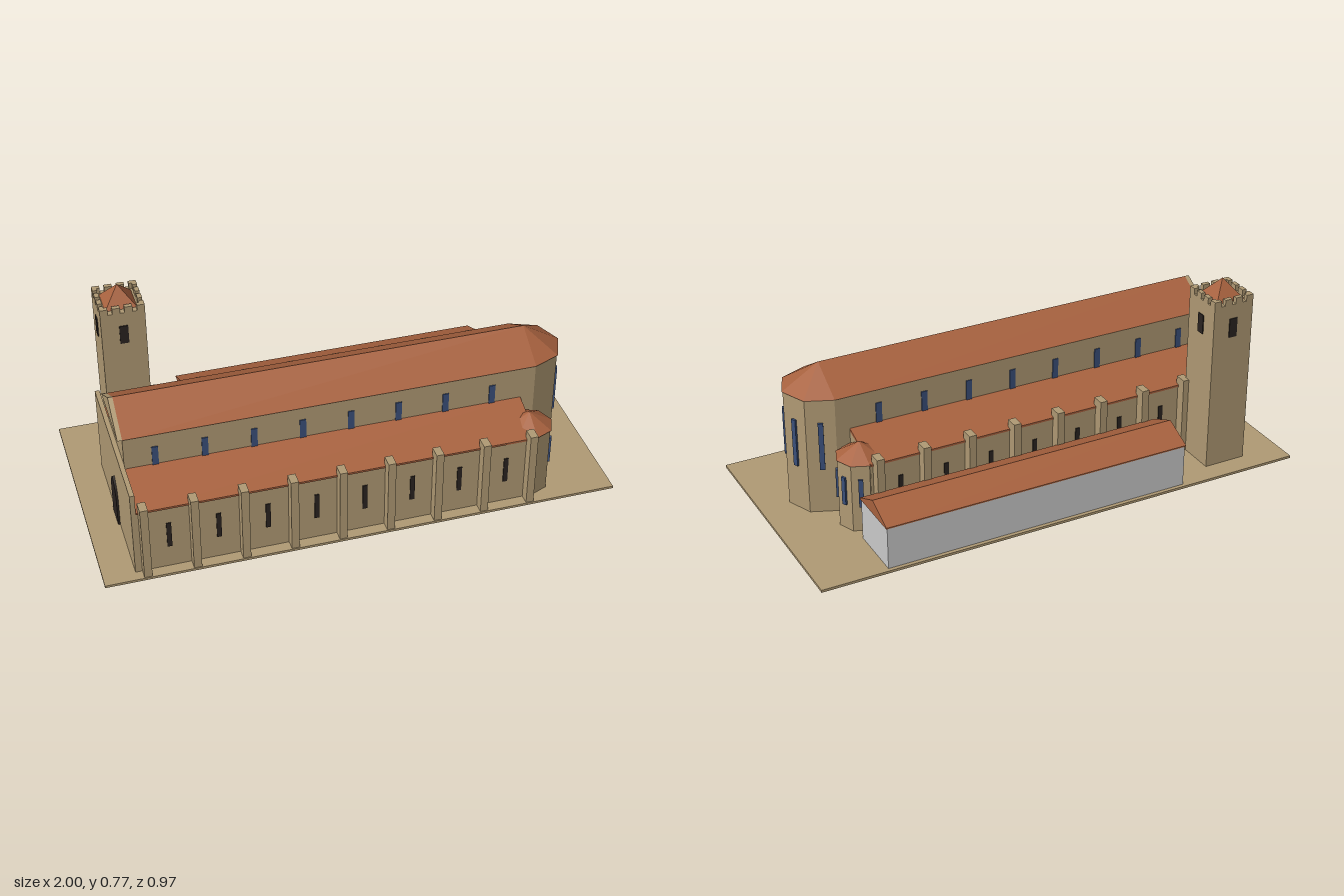
import * as THREE from 'three';

const mat = (color) => new THREE.MeshStandardMaterial({ color, flatShading: true });
const stone = mat(0xb09a74), tile = mat(0xa8623f), glass = mat(0x3a4f7a);
const dark = mat(0x2a2320), plaster = mat(0xcccccc);

const AXIS = 0.115;   // z of the church's long axis
const BASE = 0.01;    // top of the ground slab
const BAY = 0.1865;   // buttress spacing

export function createModel() {
  const model = new THREE.Group();
  model.name = 'church';

  const add = (name, geometry, material, parent = model) => {
    const mesh = new THREE.Mesh(geometry, material);
    mesh.name = name;
    parent.add(mesh);
    return mesh;
  };

  // Box given by its limits on each axis
  const box = (name, material, [x0, x1], [y0, y1], [z0, z1], parent) => {
    const g = new THREE.BoxGeometry(Math.abs(x1 - x0), y1 - y0, Math.abs(z1 - z0));
    g.translate((x0 + x1) / 2, (y0 + y1) / 2, (z0 + z1) / 2);
    return add(name, g, material, parent);
  };

  // Prism along x with a [z, y] profile
  const prism = (name, material, profile, x0, x1, parent) => {
    const shape = new THREE.Shape(profile.map(([z, y]) => new THREE.Vector2(z, y)));
    const g = new THREE.ExtrudeGeometry(shape, { depth: x1 - x0, bevelEnabled: false });
    g.rotateY(-Math.PI / 2).translate(x1, 0, 0);
    return add(name, g, material, parent);
  };

  // Octagonal apse with pyramid roof and three tall windows
  const apse = (name, x, z, r, eave, apex, winY, winW) => {
    const group = new THREE.Group();
    group.name = name;
    group.position.set(x, 0, z);
    model.add(group);
    const wall = new THREE.CylinderGeometry(r, r, eave - BASE, 8);
    add('apseWall', wall.translate(0, (eave + BASE) / 2, 0), stone, group);
    const roof = new THREE.ConeGeometry(r + 0.004, apex - eave, 8);
    add('apseRoof', roof.translate(0, (eave + apex) / 2, 0), tile, group);
    const apothem = r * Math.cos(Math.PI / 8);
    for (const k of [-1, 1, 3]) {
      const g = new THREE.BoxGeometry(0.016, winY[1] - winY[0], winW);
      g.translate(apothem, (winY[0] + winY[1]) / 2, 0).rotateY(k * Math.PI / 8);
      add('apseWindow', g, glass, group);
    }
  };

  box('ground', stone, [-1, 1], [0, BASE], [-0.485, 0.485]);

  // Nave
  const half = 0.145;
  box('naveWall', stone, [-0.86, 0.735], [BASE, 0.485], [AXIS - half, AXIS + half]);
  const gable = (w, y) => [[AXIS - w, y], [AXIS + w, y], [AXIS, 0.575]];
  prism('naveRoof', tile, gable(half + 0.004, 0.485), -0.86, 0.735);
  prism('naveGable', stone, gable(half + 0.004, 0.485), -0.878, -0.86);
  apse('mainApse', 0.735, AXIS, half, 0.485, 0.575, [0.195, 0.39], 0.02);

  // West front with pointed doorway
  box('westFront', stone, [-0.878, -0.86], [BASE, 0.37], [AXIS - 0.328, AXIS + 0.328]);
  const door = new THREE.Shape();
  door.moveTo(-0.048, BASE);
  door.lineTo(0.048, BASE);
  door.lineTo(0.048, 0.13);
  door.quadraticCurveTo(0.042, 0.18, 0, 0.21);
  door.quadraticCurveTo(-0.042, 0.18, -0.048, 0.13);
  const doorGeo = new THREE.ExtrudeGeometry(door, { depth: 0.012, bevelEnabled: false, curveSegments: 6 });
  add('westDoor', doorGeo.rotateY(-Math.PI / 2).translate(-0.874, 0, AXIS), dark);

  // Aisles, mirrored about the nave axis
  for (const s of [1, -1]) {
    const z = (d) => AXIS + s * d;
    const outer = 0.326;
    prism('aisleWall', stone,
      [[z(half), BASE], [z(outer), BASE], [z(outer), 0.285], [z(half), 0.342]], -0.86, 0.68);
    prism('aisleRoof', tile,
      [[z(half), 0.338], [z(outer + 0.004), 0.282], [z(outer + 0.004), 0.29], [z(half), 0.35]], -0.86, 0.68);
    for (let i = 0; i < 9; i++) {
      const x = -0.837 + i * BAY;
      box('buttress', stone, [x - 0.015, x + 0.015], [BASE, 0.324], [z(outer - 0.01), z(0.366)]);
      if (i === 8) break;
      const w = x + BAY / 2;
      box('aisleWindow', dark, [w - 0.009, w + 0.009], [0.105, 0.215], [z(outer - 0.01), z(outer + 0.004)]);
      box('clerestoryWindow', glass, [w - 0.012, w + 0.012], [0.345, 0.43], [z(half - 0.01), z(half + 0.004)]);
    }
    apse('sideApse', 0.683, z(0.2355), 0.09, 0.287, 0.343, [0.115, 0.23], 0.018);
  }

  // Bell tower
  const tower = new THREE.Group();
  tower.name = 'tower';
  tower.position.set(-0.745, 0, -0.314);
  model.add(tower);
  const t = 0.086;
  box('towerWall', stone, [-t, t], [BASE, 0.696], [-t, t], tower);
  const spire = new THREE.ConeGeometry(0.062 * Math.SQRT2, 0.076, 4);
  add('towerRoof', spire.rotateY(Math.PI / 4).translate(0, 0.733, 0), tile, tower);
  for (let side = 0; side < 4; side++) {
    const face = new THREE.Group();
    face.name = 'towerSide';
    face.rotation.y = side * Math.PI / 2;
    tower.add(face);
    box('belfryWindow', dark, [-0.017, 0.017], [0.56, 0.638], [t - 0.01, t + 0.004], face);
    for (let i = 0; i < 4; i++) {
      const x = -t + i * 0.0473;
      box('merlon', stone, [x, x + 0.03], [0.696, 0.72], [t - 0.018, t], face);
    }
  }

  // Long annex along the back
  box('annexWall', plaster, [-0.508, 0.735], [BASE, 0.178], [-0.47, -0.243]);
  prism('annexRoof', tile, [[-0.473, 0.178], [-0.473, 0.183], [-0.357, 0.236], [-0.24, 0.183], [-0.24, 0.178]],
    -0.512, 0.739);

  return model;
}
